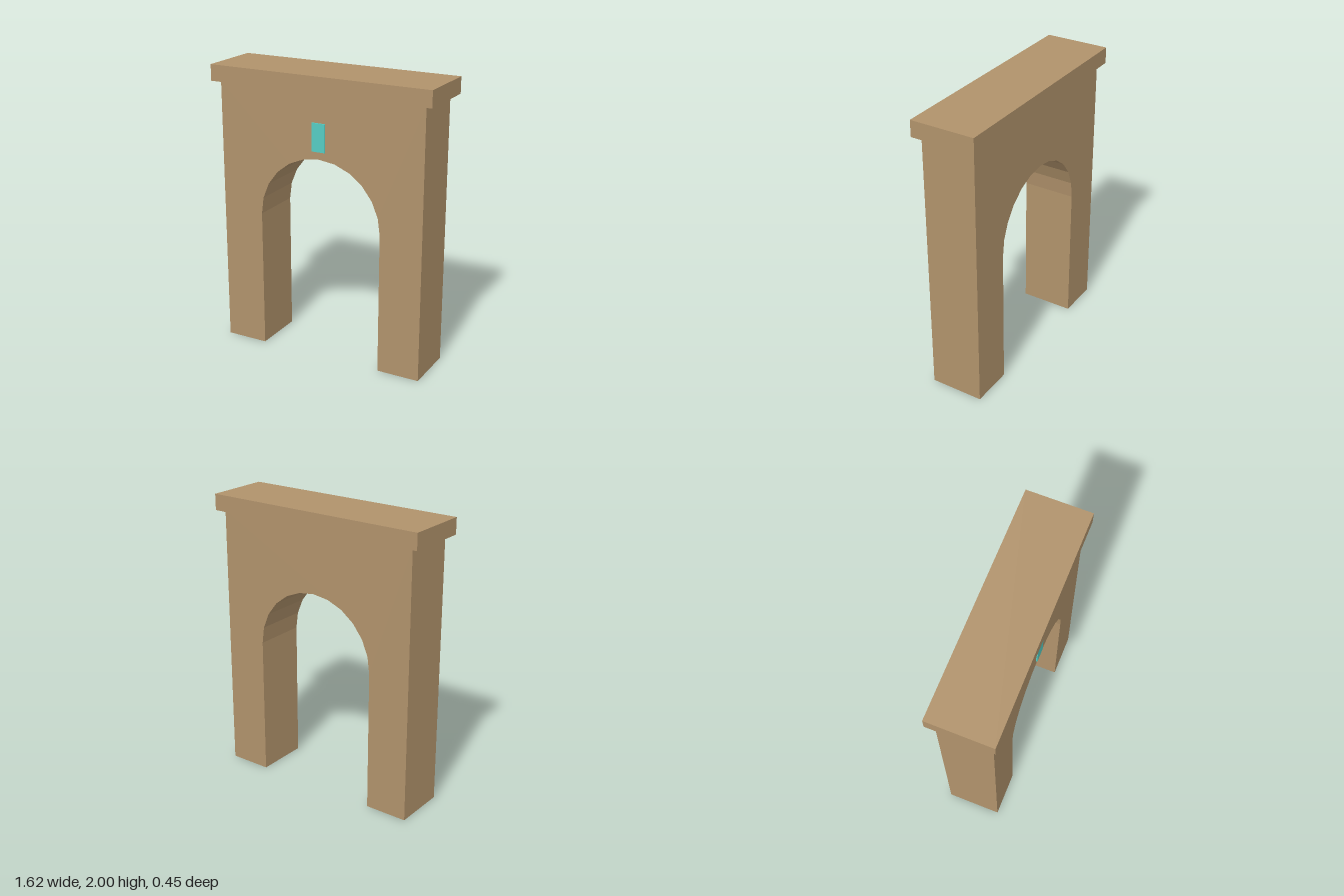
import * as THREE from 'three';

export function createModel() {
  const group = new THREE.Group();
  const stone = new THREE.MeshStandardMaterial({ name: 'sandstone', color: 0xb0926b });
  const teal = new THREE.MeshStandardMaterial({ name: 'teal', color: 0x55ccc2 });

  const add = (name, geometry, material, y, z) => {
    const mesh = new THREE.Mesh(geometry, material);
    mesh.name = name;
    mesh.position.set(0, y, z);
    group.add(mesh);
  };

  // Wall outline: two piers joined by a twelve-sided round arch
  const halfWidth = 0.755, radius = 0.453, spring = 0.986, wallTop = 1.887, depth = 0.377;
  const outline = [[radius, 0], [halfWidth, 0], [halfWidth, wallTop], [-halfWidth, wallTop], [-halfWidth, 0], [-radius, 0]]
    .map(([x, y]) => new THREE.Vector2(x, y));
  const segments = 12;
  for (let i = 0; i <= segments; i++) {
    const a = Math.PI * (1 - i / segments);
    outline.push(new THREE.Vector2(radius * Math.cos(a), spring + radius * Math.sin(a)));
  }
  const wall = new THREE.ExtrudeGeometry(new THREE.Shape(outline), { depth, bevelEnabled: false });
  add('archWall', wall, stone, 0, -depth / 2);

  // Overhanging slab on top
  add('capSlab', new THREE.BoxGeometry(1.618, 0.113, 0.452), stone, 2 - 0.113 / 2, 0);

  // Thin plaque over the arch, on the front only
  add('keystonePlaque', new THREE.BoxGeometry(0.095, 0.194, 0.009), teal, 1.588, depth / 2 + 0.0045);

  return group;
}
